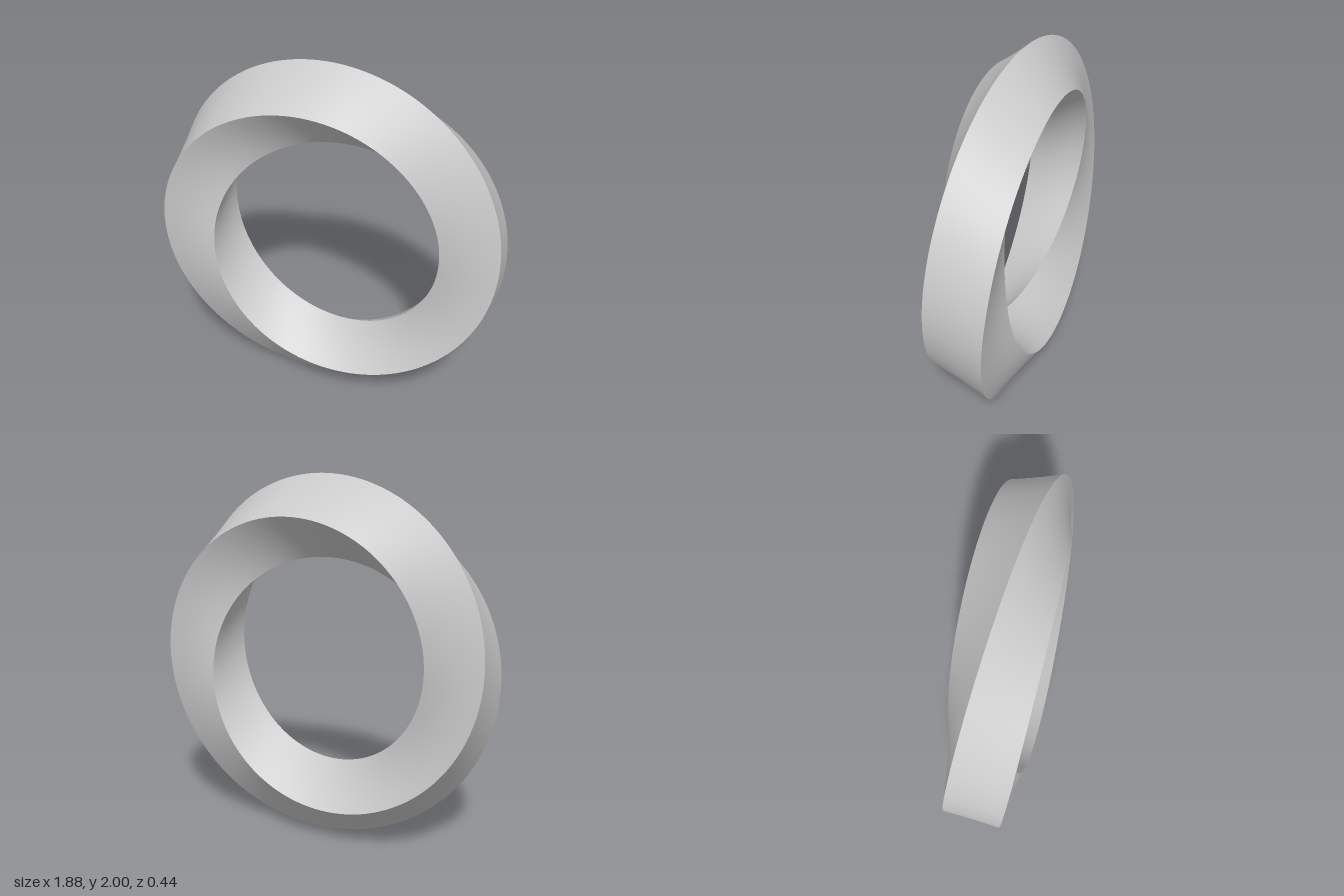
import * as THREE from 'three';

const RING = 0.782;   // radius of the ring's centre line
const HALF = 0.218;   // half diagonal of the square section
const STEPS = 480;    // steps along a band, which runs twice round the ring
const ACROSS = 4;     // divisions across a band

// Corner of the square section at ring angle t (clockwise from the top);
// the section makes half a turn per trip round the ring.
function corner(t, phase) {
  const phi = t / 2 + phase;
  const r = RING + HALF * Math.cos(phi);
  return new THREE.Vector3(r * Math.sin(t), 1 + r * Math.cos(t), HALF * Math.sin(phi));
}

// One continuous band: two opposite sides of the square joined by the half twist.
function bandGeometry(phase) {
  const positions = [], index = [];
  const row = ACROSS + 1;
  for (let i = 0; i < STEPS; i++) {
    const t = (i / STEPS) * Math.PI * 4;
    const a = corner(t, phase), b = corner(t, phase + Math.PI / 2);
    for (let j = 0; j <= ACROSS; j++) {
      positions.push(...a.clone().lerp(b, j / ACROSS).toArray());
    }
    const next = (i + 1) % STEPS;
    for (let j = 0; j < ACROSS; j++) {
      const p = i * row + j, q = next * row + j;
      index.push(p, p + 1, q, p + 1, q + 1, q);
    }
  }
  const geometry = new THREE.BufferGeometry();
  geometry.setAttribute('position', new THREE.Float32BufferAttribute(positions, 3));
  geometry.setIndex(index);
  geometry.computeVertexNormals();
  return geometry;
}

export function createModel() {
  const group = new THREE.Group();
  group.name = 'twistedSquareRing';
  const material = new THREE.MeshStandardMaterial({ color: 0xcccccc });

  // Separate bands keep the four long edges sharp
  ['firstBand', 'secondBand'].forEach((name, k) => {
    const band = new THREE.Mesh(bandGeometry(k * Math.PI / 2), material);
    band.name = name;
    group.add(band);
  });
  return group;
}
